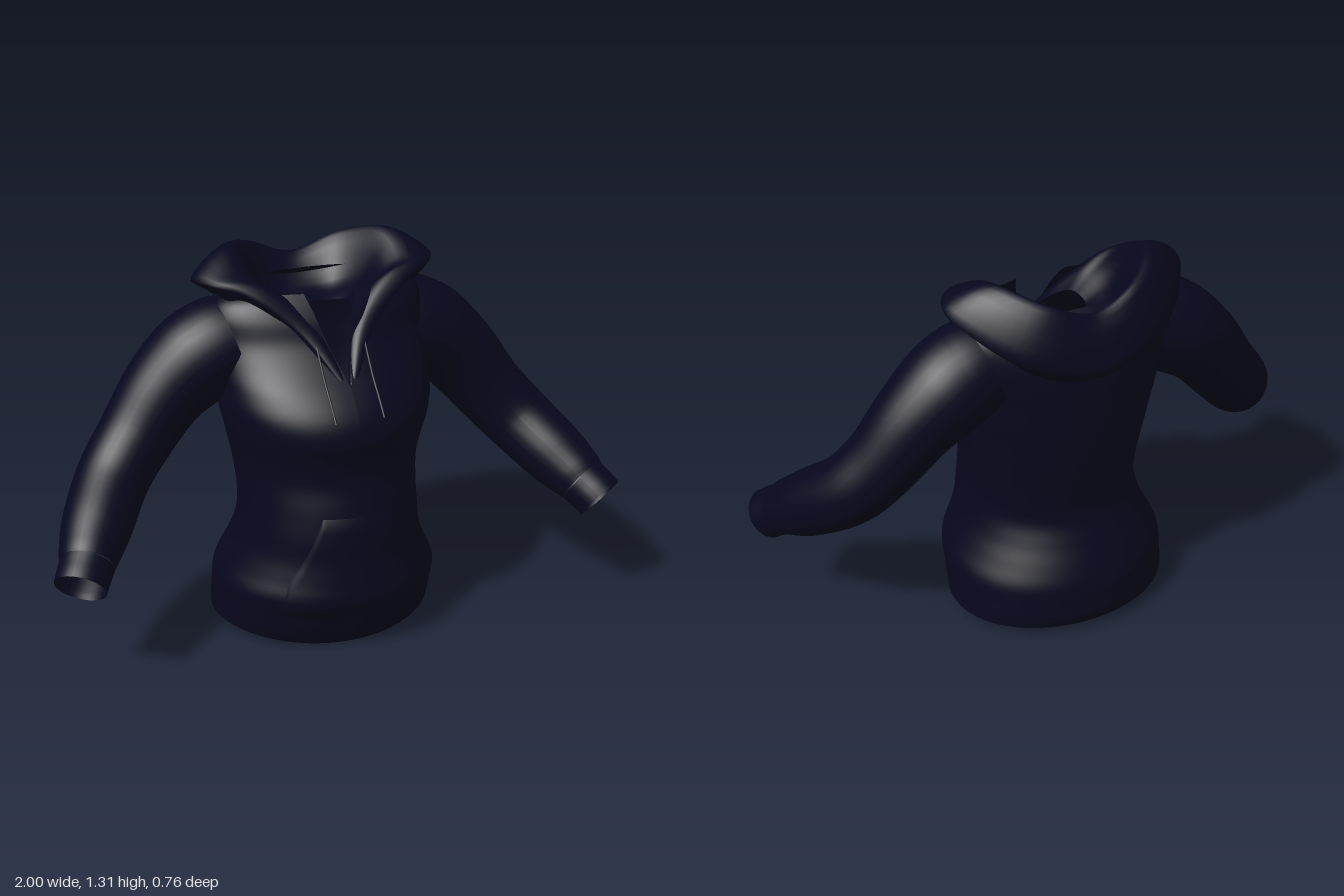
import * as THREE from 'three';

const V = (x, y, z) => new THREE.Vector3(x, y, z);
const spline = (pts) => new THREE.CatmullRomCurve3(pts, false, 'catmullrom', 0.5);

// Smooth skin over rows of points of equal length; quads starting at a point in a hole are left out
function loft(rows, inHole = () => false) {
  const n = rows[0].length, pos = [], idx = [];
  rows.forEach((row) => row.forEach((p) => pos.push(p.x, p.y, p.z)));
  for (let i = 0; i < rows.length - 1; i++) {
    for (let j = 0; j < n - 1; j++) {
      if (inHole(rows[i][j])) continue;
      const a = i * n + j, b = a + n;
      idx.push(a, a + 1, b, a + 1, b + 1, b);
    }
  }
  const g = new THREE.BufferGeometry();
  g.setAttribute('position', new THREE.Float32BufferAttribute(pos, 3));
  g.setIndex(idx);
  g.computeVertexNormals();
  return g;
}

// Torso sections: height, half width, front z, back z
const SECTIONS = [
  [0.03, 0.388, 0.285, -0.345], [0.07, 0.387, 0.315, -0.36], [0.12, 0.385, 0.338, -0.36],
  [0.19, 0.382, 0.372, -0.357], [0.26, 0.35, 0.365, -0.33], [0.33, 0.322, 0.356, -0.295],
  [0.41, 0.308, 0.353, -0.262], [0.5, 0.304, 0.34, -0.27], [0.6, 0.313, 0.318, -0.288],
  [0.68, 0.33, 0.328, -0.297], [0.75, 0.346, 0.347, -0.302], [0.82, 0.36, 0.333, -0.302],
  [0.89, 0.364, 0.285, -0.3], [0.96, 0.37, 0.215, -0.297], [1.03, 0.375, 0.155, -0.287],
  [1.1, 0.372, 0.125, -0.265], [1.15, 0.34, 0.095, -0.235], [1.18, 0.27, 0.07, -0.2],
];
const widthCurve = spline(SECTIONS.map((s) => V(s[1], s[0], 0)));
const depthCurve = spline(SECTIONS.map((s) => V(s[2], s[3], 0)));

// Point on the torso; a = 0 is the front centre, growing towards +x. The upper back is flatter.
function torsoPoint(a, u, out = 0) {
  const { x: w, y } = widthCurve.getPoint(u), { x: zf, y: zb } = depthCurve.getPoint(u);
  const mid = (zf + zb) / 2, half = (zf - zb) / 2, c = Math.cos(a);
  const dip = 0.04 * Math.max(0, 1 - y / 0.12) * Math.max(0, c) ** 2;
  const flat = THREE.MathUtils.lerp(0.93, 0.74, THREE.MathUtils.smoothstep(y, 0.6, 1));
  const depth = c > 0 ? c : -((-c) ** flat);
  return V((w + out) * Math.sin(a), y - dip, mid + (half + out) * depth);
}

// Torso shell, open at the hem, with armholes and a V-shaped gap at the throat
function torsoGeometry(u0, u1, steps) {
  const rows = [];
  for (let i = 0; i <= steps; i++) {
    const u = u0 + ((u1 - u0) * i) / steps, { x: w, y } = widthCurve.getPoint(u);
    const gap = THREE.MathUtils.clamp((y - 0.91) * 0.33, 0, 0.1);
    const a0 = Math.asin(gap / w);
    rows.push(Array.from({ length: 97 }, (_, j) => torsoPoint(a0 + (2 * Math.PI - 2 * a0) * (j / 96), u)));
  }
  return loft(rows, (p) => Math.abs(p.x) > 0.3 && Math.hypot(p.y - 0.98, p.z + 0.09) < 0.12);
}

// Front pocket following the belly, with slanted hand openings
function pocketGeometry() {
  const rows = [];
  for (let i = 0; i <= 16; i++) {
    const u = THREE.MathUtils.lerp(2.1, 7, i / 16) / (SECTIONS.length - 1), y = widthCurve.getPoint(u).y;
    const reach = y < 0.26 ? 0.72 : THREE.MathUtils.lerp(0.72, 0.4, (y - 0.26) / 0.24);
    rows.push(Array.from({ length: 25 }, (_, j) => {
      const rim = i === 0 || i === 16 || j === 0 || j === 24;
      return torsoPoint(reach * (j / 12 - 1), u, rim ? -0.003 : 0.006);
    }));
  }
  return loft(rows);
}

// Round sleeve through stations of [x, y, z, radius]
function sleeveGeometry(stations, steps) {
  const path = spline(stations.map((s) => V(s[0], s[1], s[2])));
  const radii = spline(stations.map((s) => V(s[3], 0, 0)));
  const rows = [];
  for (let i = 0; i <= steps; i++) {
    const u = i / steps, c = path.getPoint(u), r = radii.getPoint(u).x, t = path.getTangent(u);
    const n = t.clone().cross(V(1, 1, 0)).normalize(), b = n.clone().cross(t);
    rows.push(Array.from({ length: 33 }, (_, j) => {
      const a = (-j / 32) * Math.PI * 2;
      return c.clone().addScaledVector(n, r * Math.cos(a)).addScaledVector(b, r * Math.sin(a));
    }));
  }
  return loft(rows);
}

// Folded hood: each station runs inner neck, lining, crest, outer fold, underside
function hoodGeometry() {
  const side = [
    [V(0, 0.915, 0.235), V(0.004, 0.92, 0.242), V(0.01, 0.92, 0.25), V(0.018, 0.915, 0.252), V(0.02, 0.9, 0.25)],
    [V(0.045, 1.04, 0.125), V(0.06, 1.065, 0.13), V(0.09, 1.08, 0.137), V(0.125, 1.075, 0.138), V(0.13, 1.06, 0.125)],
    [V(0.085, 1.1, 0.05), V(0.14, 1.165, 0.055), V(0.21, 1.205, 0.06), V(0.27, 1.195, 0.068), V(0.265, 1.165, 0.05)],
    [V(0.1, 1.11, 0), V(0.17, 1.175, 0), V(0.285, 1.245, 0), V(0.38, 1.228, 0), V(0.33, 1.168, 0)],
    [V(0.1, 1.1, -0.06), V(0.18, 1.17, -0.09), V(0.275, 1.31, -0.14), V(0.41, 1.215, -0.13), V(0.33, 1.155, -0.14)],
    [V(0.06, 1.09, -0.1), V(0.11, 1.13, -0.18), V(0.16, 1.27, -0.275), V(0.25, 1.12, -0.315), V(0.21, 1.035, -0.27)],
  ];
  const back = [V(0, 1.09, -0.11), V(0, 1.12, -0.2), V(0, 1.21, -0.305), V(0, 1.05, -0.378), V(0, 0.965, -0.29)];
  const flip = (row) => row.map((p) => V(-p.x, p.y, p.z));
  const stations = [...side, back, ...side.map(flip).reverse()];
  const profiles = stations.map((s) => spline(s).getPoints(20));
  const columns = profiles[0].map((_, j) => spline(profiles.map((p) => p[j])).getPoints(84));
  return loft(columns);
}

export function createModel() {
  const cloth = new THREE.MeshStandardMaterial({ color: 0x07071d, side: THREE.DoubleSide });
  cloth.name = 'navy cloth';
  const cord = new THREE.MeshStandardMaterial({ color: 0x07070f });
  cord.name = 'dark cord';

  const model = new THREE.Group();
  model.name = 'hoodie';
  const add = (name, geometry, material = cloth) => {
    const mesh = new THREE.Mesh(geometry, material);
    mesh.name = name;
    model.add(mesh);
  };

  // Body
  const hemTop = 2 / (SECTIONS.length - 1);
  add('hemBand', torsoGeometry(0, hemTop, 6));
  add('torso', torsoGeometry(hemTop, 1, 72));
  add('frontPocket', pocketGeometry());
  add('hood', hoodGeometry());

  // Sleeves, cuffs and drawstrings on both sides
  for (const [label, s] of [['left', 1], ['right', -1]]) {
    const mirror = (geometry) => {
      if (s > 0) return geometry;
      geometry.scale(-1, 1, 1);
      const index = geometry.index.array;
      for (let i = 0; i < index.length; i += 3) [index[i], index[i + 1]] = [index[i + 1], index[i]];
      geometry.computeVertexNormals();
      return geometry;
    };
    add(label + 'Sleeve', mirror(sleeveGeometry([
      [0.3, 1.0, -0.085, 0.158], [0.36, 0.98, -0.087, 0.162], [0.43, 0.938, -0.09, 0.16],
      [0.53, 0.85, -0.083, 0.143], [0.635, 0.718, -0.058, 0.128], [0.732, 0.605, -0.005, 0.122],
      [0.82, 0.505, 0.115, 0.115], [0.868, 0.45, 0.195, 0.1], [0.886, 0.426, 0.228, 0.09],
    ], 48)));
    add(label + 'Cuff', mirror(sleeveGeometry([
      [0.886, 0.426, 0.228, 0.09], [0.9, 0.41, 0.25, 0.088], [0.913, 0.395, 0.27, 0.087], [0.925, 0.379, 0.288, 0.086],
    ], 10)));
    add(label + 'Drawstring', new THREE.TubeGeometry(spline([
      V(0.083 * s, 1.06, 0.145), V(0.083 * s, 1.0, 0.19), V(0.083 * s, 0.93, 0.245),
      V(0.083 * s, 0.88, 0.295), V(0.083 * s, 0.83, 0.34),
    ]), 24, 0.004, 6), cord);
  }
  return model;
}
